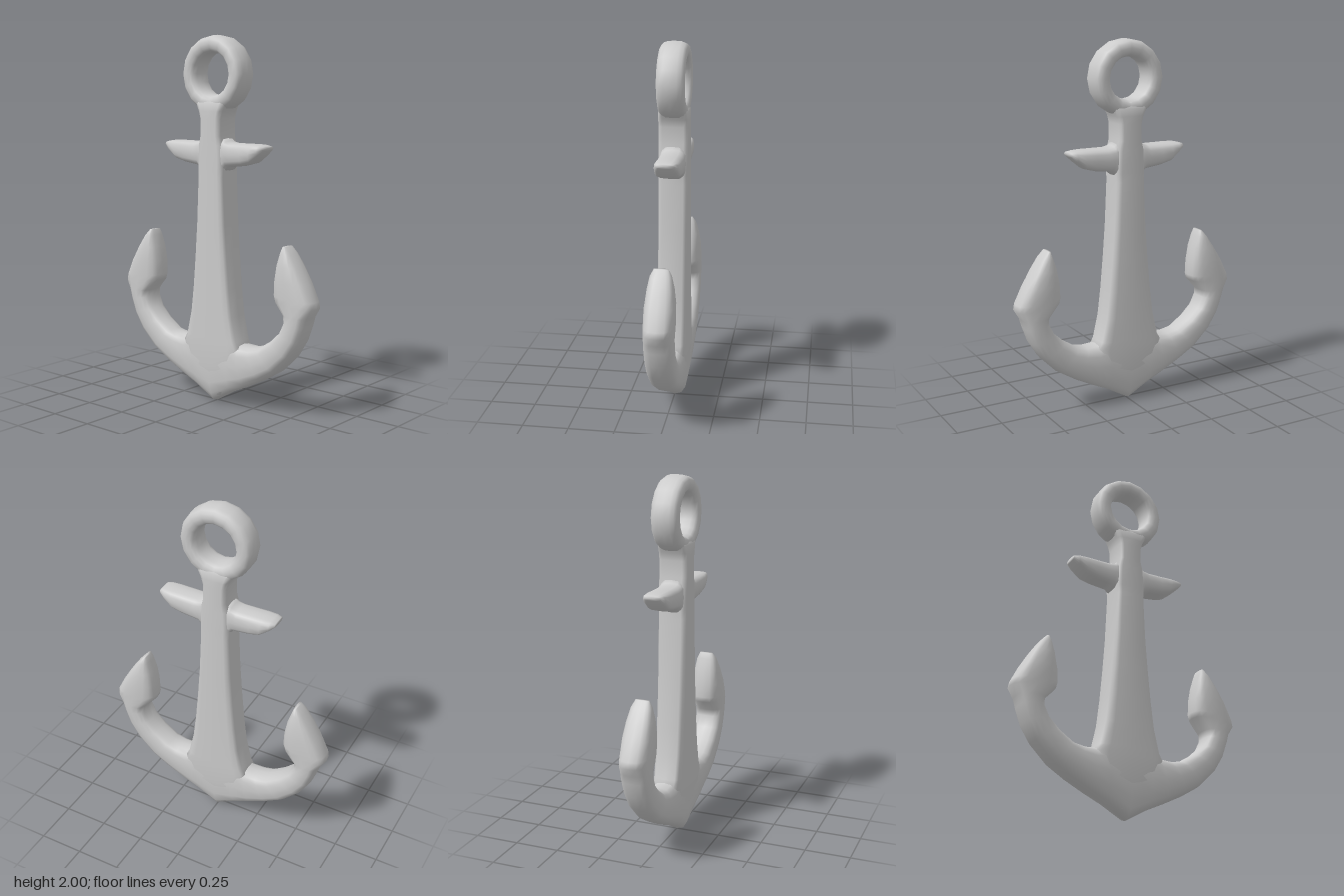
import * as THREE from 'three';

const material = new THREE.MeshStandardMaterial({ color: 0xcccccc });
const SIDES = 16;

// Skins rounded cross-sections [leftX, leftY, rightX, rightY, halfDepth]; left and right as
// seen along the direction of travel. Higher power gives a boxier section.
function loft(name, sections, power, closed = false) {
  const pos = [], index = [];
  const n = sections.length;
  const round = (v) => Math.sign(v) * Math.abs(v) ** (2 / power);
  for (const [ax, ay, bx, by, depth] of sections) {
    for (let j = 0; j < SIDES; j++) {
      const t = (j / SIDES) * Math.PI * 2;
      const u = round(Math.cos(t)) / 2;
      pos.push((ax + bx) / 2 + (ax - bx) * u, (ay + by) / 2 + (ay - by) * u, depth * round(Math.sin(t)));
    }
  }
  for (let i = 0; i < (closed ? n : n - 1); i++) {
    for (let j = 0; j < SIDES; j++) {
      const k = (j + 1) % SIDES, next = (i + 1) % n;
      const a = i * SIDES + j, b = i * SIDES + k, c = next * SIDES + k, d = next * SIDES + j;
      index.push(a, b, c, a, c, d);
    }
  }
  if (!closed) {
    for (const end of [0, n - 1]) {
      const [ax, ay, bx, by] = sections[end];
      const centre = pos.length / 3;
      pos.push((ax + bx) / 2, (ay + by) / 2, 0);
      for (let j = 0; j < SIDES; j++) {
        const a = end * SIDES + j, b = end * SIDES + ((j + 1) % SIDES);
        if (end) index.push(centre, a, b);
        else index.push(centre, b, a);
      }
    }
  }
  const geometry = new THREE.BufferGeometry();
  geometry.setAttribute('position', new THREE.Float32BufferAttribute(pos, 3));
  geometry.setIndex(index);
  geometry.computeVertexNormals();
  const mesh = new THREE.Mesh(geometry, material);
  mesh.name = name;
  return mesh;
}

// Completes a right half, listed from the middle outward, with its mirror image
function mirrored(half) {
  const other = half.filter((s) => s[0] !== 0 || s[2] !== 0)
    .map(([ax, ay, bx, by, d]) => [-ax, ay, -bx, by, d]).reverse();
  return [...other, ...half];
}

export function createModel() {
  const group = new THREE.Group();
  group.name = 'anchor';

  // Tapered shank: height, half width, half depth
  const shank = [
    [0.05, 0.06, 0.05], [0.12, 0.13, 0.068], [0.21, 0.18, 0.08], [0.33, 0.2, 0.082],
    [0.37, 0.178, 0.082], [0.5, 0.147, 0.082], [0.65, 0.128, 0.082], [0.82, 0.112, 0.082],
    [1.0, 0.098, 0.082], [1.25, 0.086, 0.082], [1.3, 0.088, 0.082], [1.42, 0.082, 0.082],
    [1.47, 0.069, 0.082], [1.56, 0.07, 0.082], [1.6, 0.082, 0.082], [1.64, 0.105, 0.079],
    [1.67, 0.125, 0.062],
  ].map(([y, w, d]) => [-w, y, w, y, d]);
  group.add(loft('shank', shank, 5));

  // Curved arms with pointed flukes, in one sweep from tip to tip
  group.add(loft('armsAndFlukes', mirrored([
    [0, 0.45, 0, 0.005, 0.078],
    [0.12, 0.39, 0.12, 0.075, 0.08],
    [0.18, 0.355, 0.22, 0.122, 0.08],
    [0.25, 0.35, 0.33, 0.178, 0.08],
    [0.31, 0.36, 0.43, 0.24, 0.08],
    [0.39, 0.41, 0.525, 0.335, 0.08],
    [0.45, 0.465, 0.58, 0.425, 0.08],
    [0.48, 0.525, 0.61, 0.51, 0.08],
    [0.476, 0.565, 0.625, 0.56, 0.08],
    [0.415, 0.63, 0.658, 0.61, 0.08],
    [0.407, 0.66, 0.652, 0.645, 0.08],
    [0.412, 0.74, 0.606, 0.735, 0.08],
    [0.427, 0.82, 0.557, 0.815, 0.071],
    [0.448, 0.885, 0.512, 0.88, 0.057],
    [0.46, 0.918, 0.478, 0.918, 0.038],
  ]), 2.8));

  // Crossbar with upswept ends
  group.add(loft('crossbar', mirrored([
    [0, 1.43, 0, 1.305, 0.07],
    [0.065, 1.465, 0.075, 1.27, 0.07],
    [0.085, 1.443, 0.1, 1.303, 0.07],
    [0.12, 1.435, 0.13, 1.308, 0.07],
    [0.2, 1.435, 0.2, 1.317, 0.07],
    [0.265, 1.435, 0.255, 1.332, 0.07],
    [0.31, 1.432, 0.305, 1.372, 0.062],
    [0.337, 1.426, 0.337, 1.402, 0.048],
  ]), 3));

  // Shackle ring
  const ring = [];
  for (let i = 0; i < 16; i++) {
    const a = (i / 16) * Math.PI * 2;
    const c = Math.cos(a), s = Math.sin(a);
    ring.push([c * 0.112, 1.795 + s * 0.112, c * 0.205, 1.795 + s * 0.205, 0.075]);
  }
  group.add(loft('ring', ring, 2.7, true));

  return group;
}
